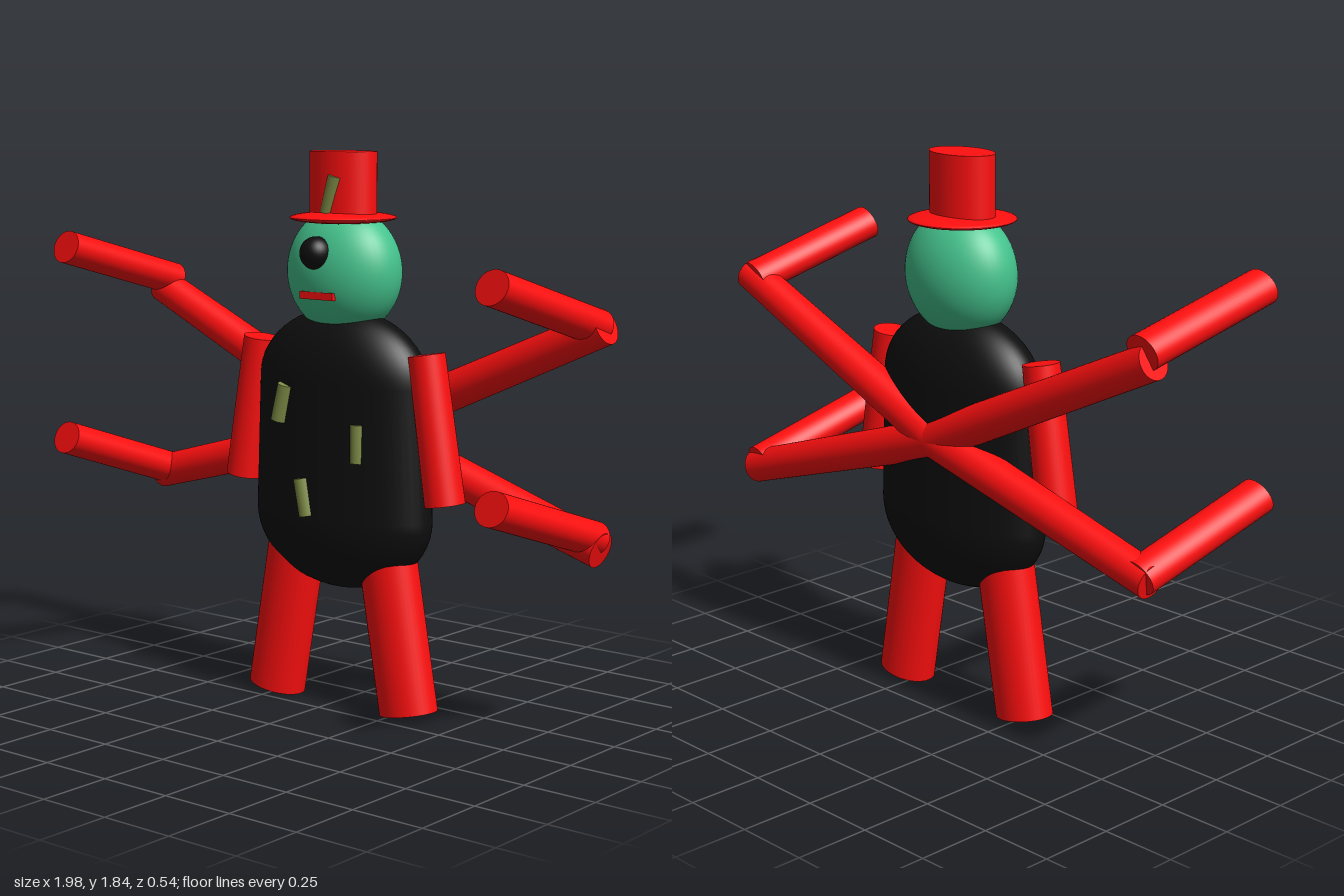
import * as THREE from 'three';

const paint = (color) => new THREE.MeshStandardMaterial({ color });
const red = paint(0xff0f0f);
const black = paint(0x0e0e0e);
const green = paint(0x45c48e);
const olive = paint(0x7f8c46);

export function createModel() {
  const model = new THREE.Group();
  const CX = 0.027, CZ = -0.093; // axis of the figure

  const add = (name, geometry, material, x, y, z) => {
    const mesh = new THREE.Mesh(geometry, material);
    mesh.name = name;
    mesh.position.set(x, y, z);
    model.add(mesh);
    return mesh;
  };

  // Cylinder between two points; 'flat' squashes the section across its width
  const limb = (name, a, b, rA, rB = rA, flat = 1) => {
    const from = new THREE.Vector3(...a), to = new THREE.Vector3(...b);
    const dir = to.clone().sub(from), length = dir.length();
    const geo = new THREE.CylinderGeometry(rB, rA, length, 40);
    geo.scale(1, 1, flat);
    const mid = from.add(to).multiplyScalar(0.5);
    const mesh = add(name, geo, red, mid.x, mid.y, mid.z);
    mesh.quaternion.setFromUnitVectors(new THREE.Vector3(0, 1, 0), dir.normalize());
    return mesh;
  };

  // Body: rounded ends, slightly narrower at the top, flattened front to back
  const profile = [];
  const cap = (radius, height, y, start) => {
    for (let i = 0; i <= 14; i++) {
      const t = start + (i / 14) * Math.PI / 2;
      profile.push(new THREE.Vector2(Math.max(0, radius * Math.cos(t)), y + height * Math.sin(t)));
    }
  };
  cap(0.35, 0.25, 0.66, -Math.PI / 2);
  cap(0.335, 0.24, 1.1, 0);
  add('body', new THREE.LatheGeometry(profile, 56), black, 0.03, 0, CZ).scale.z = 0.455;

  // Head and face
  add('head', new THREE.SphereGeometry(0.21, 48, 32), green, 0.03, 1.46, -0.097).scale.z = 0.715;
  add('eye', new THREE.SphereGeometry(0.054, 32, 20), black, 0.021, 1.525, 0.037);
  add('mouth', new THREE.BoxGeometry(0.136, 0.024, 0.05), red, 0.03, 1.388, 0.024);

  // Hat
  add('hatBrim', new THREE.SphereGeometry(0.175, 48, 20), red, CX, 1.634, CZ).scale.y = 0.115;
  add('hatCrown', new THREE.CylinderGeometry(0.124, 0.124, 0.22, 48), red, CX, 1.738, CZ).scale.z = 0.68;

  // Small pegs on hat and body: x, y, z, tilt
  [
    [0.036, 1.71, -0.028, -0.27],
    [-0.115, 1.03, 0.045, -0.25],
    [0.187, 0.92, 0.025, 0],
    [-0.013, 0.727, 0.055, 0.2],
  ].forEach(([x, y, z, tilt]) => {
    add('peg', new THREE.CylinderGeometry(0.028, 0.028, 0.125, 24), olive, x, y, z).rotation.z = tilt;
  });

  // Front arms and legs
  limb('rightArm', [-0.395, 0.745, -0.087], [-0.32, 1.222, -0.087], 0.066, 0.06);
  limb('leftArm', [0.452, 0.735, -0.087], [0.375, 1.212, -0.087], 0.066, 0.06);
  limb('rightLeg', [-0.26, 0.025, CZ], [-0.158, 0.6, CZ], 0.104, 0.104, 0.8);
  limb('leftLeg', [0.307, 0.025, CZ], [0.205, 0.6, CZ], 0.104, 0.104, 0.8);

  // Four jointed arms spreading from the middle of the back: elbow, forearm start, hand
  const hub = [0.03, 0.93, -0.208];
  [
    ['upperRight', [-0.89, 1.355, -0.208], [-0.865, 1.378, -0.23], [-0.925, 1.513, 0.235]],
    ['upperLeft', [0.965, 1.333, -0.208], [0.915, 1.325, -0.235], [0.837, 1.473, 0.215]],
    ['lowerRight', [-0.9, 0.682, -0.208], [-0.865, 0.69, -0.23], [-0.928, 0.855, 0.245]],
    ['lowerLeft', [0.96, 0.636, -0.208], [0.915, 0.665, -0.235], [0.848, 0.816, 0.22]],
  ].forEach(([name, elbow, start, hand]) => {
    limb(name + 'BackArm', hub, elbow, 0.066, 0.058);
    limb(name + 'Forearm', start, hand, 0.067, 0.067, 0.83);
  });

  return model;
}
